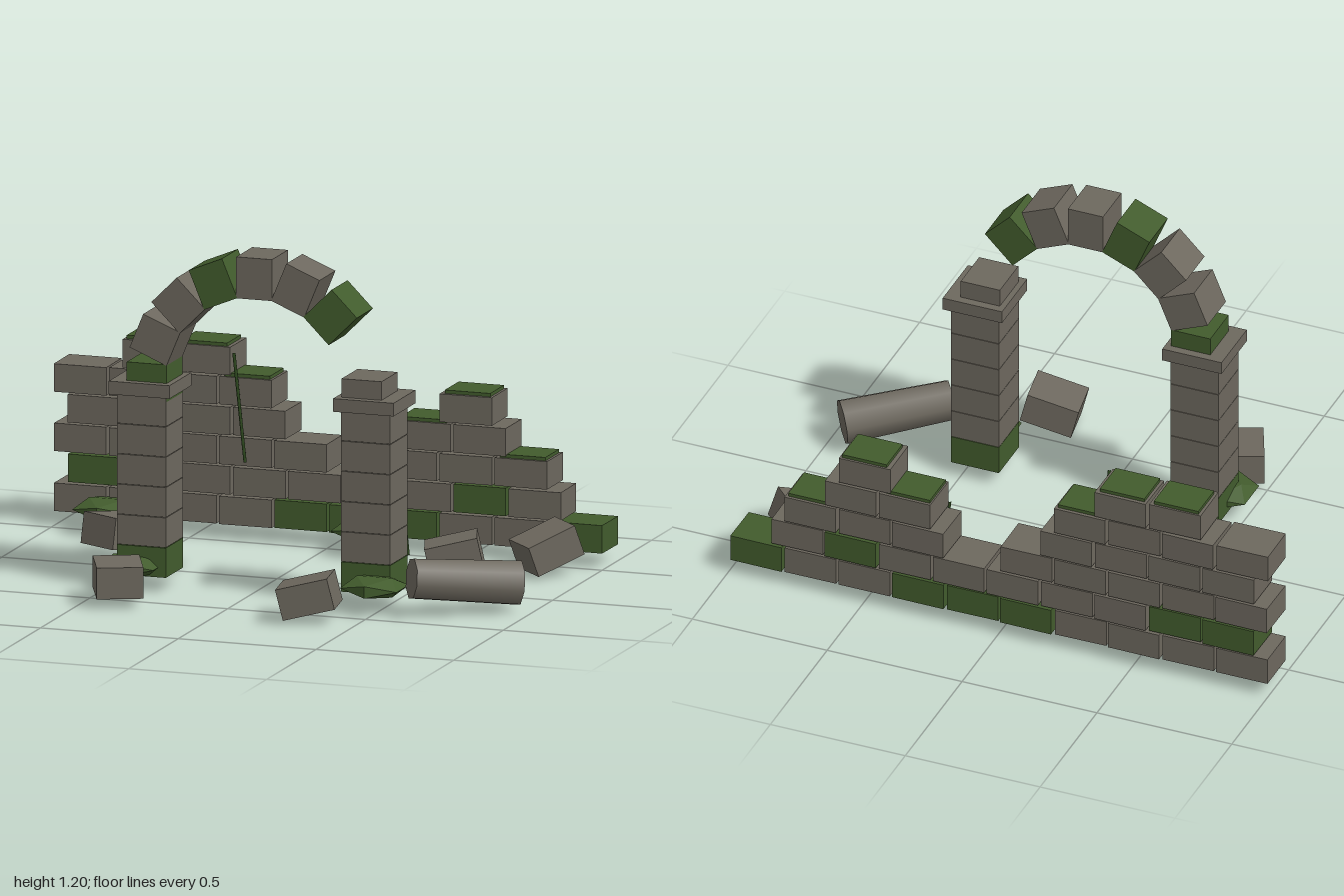
import * as THREE from 'three';

export function createModel() {
  const model = new THREE.Group();
  const mat = (name, color) => {
    const m = new THREE.MeshStandardMaterial({ color });
    m.name = name;
    return m;
  };
  const stone = mat('weathered stone', 0x6d685e);
  const moss = mat('moss green', 0x425c2d);
  const vineGreen = mat('dark vine green', 0x2f4a20);

  const add = (name, geometry, material, x, y, z, parent = model) => {
    const mesh = new THREE.Mesh(geometry, material);
    mesh.name = name;
    mesh.position.set(x, y, z);
    parent.add(mesh);
    return mesh;
  };
  const group = (name) => {
    const g = new THREE.Group();
    g.name = name;
    model.add(g);
    return g;
  };

  // Ruined wall: rows list the left edge of each run, its brick count and mossy bricks
  const wall = group('ruinedWall');
  const brick = new THREE.BoxGeometry(0.19, 0.098, 0.16);
  const pitch = 0.2, rowHeight = 0.1045, base = 0.055, wallZ = -0.602;
  const rows = [
    { runs: [[-1, 10]], mossy: [-0.2, 0, 0.2, 0.8] },
    { runs: [[-0.95, 9]], mossy: [-0.95, -0.75, 0.45] },
    { runs: [[-1, 5], [0.2, 3]], mossy: [] },
    { runs: [[-0.95, 4], [0.25, 2]], mossy: [] },
    { runs: [[-1, 4], [0.4, 1]], mossy: [] },
    { runs: [[-0.75, 2]], mossy: [] },
  ];
  rows.forEach(({ runs, mossy }, r) => {
    for (const [start, count] of runs) {
      for (let i = 0; i < count; i++) {
        const left = start + i * pitch;
        const green = mossy.some((m) => Math.abs(m - left) < 0.01);
        const wobble = Math.sin(r * 5.3 + i * 2.7);
        const b = add('wallBrick', brick, green ? moss : stone,
          left + 0.097, base + 0.049 + r * rowHeight, wallZ + wobble * 0.003, wall);
        b.rotation.y = wobble * 0.012;
      }
    }
  });

  // Moss patches on exposed brick tops: x, row, width
  for (const [x, r, w] of [[-0.655, 5, 0.165], [-0.455, 5, 0.165], [-0.3, 4, 0.165],
    [0.34, 3, 0.165], [0.5, 4, 0.165], [0.7, 2, 0.165]]) {
    add('mossPatch', new THREE.BoxGeometry(w, 0.016, 0.14), moss,
      x, base + r * rowHeight + 0.102, wallZ, wall);
  }

  // Hanging vines: top x, top y
  for (const [x, y] of [[-0.715, 0.593], [-0.34, 0.66], [0.252, 0.38]]) {
    const path = new THREE.LineCurve3(
      new THREE.Vector3(x, y, -0.511), new THREE.Vector3(x + 0.045, y - 0.377, -0.499));
    add('vine', new THREE.TubeGeometry(path, 1, 0.006, 5), vineGreen, 0, 0, 0, wall);
  }

  // Pillars with capitals
  const archX = 0.037, archY = 0.735, archZ = 0.255;
  const drum = new THREE.BoxGeometry(0.178, 0.104, 0.176);
  for (const side of [-1, 1]) {
    const pillar = group(side < 0 ? 'rightPillar' : 'leftPillar');
    const x = archX + side * 0.407;
    for (let i = 0; i < 6; i++) {
      add('pillarBlock', drum, i ? stone : moss, x, base + 0.053 + i * 0.1058, archZ, pillar);
    }
    add('capital', new THREE.BoxGeometry(0.22, 0.046, 0.222), stone, x, 0.712, archZ, pillar);
  }

  // Broken arch: one block missing on the left
  const arch = group('brokenArch');
  const archBlock = new THREE.BoxGeometry(0.145, 0.13, 0.162);
  for (let i = 0; i <= 8; i++) {
    if (i === 1) continue;
    const a = (i * Math.PI) / 8;
    const b = add('archBlock', archBlock, [2, 5, 8].includes(i) ? moss : stone,
      archX + 0.39 * Math.cos(a), archY + 0.39 * Math.sin(a), archZ, arch);
    b.rotation.z = a;
  }

  // Fallen stones: x, y, z, yaw, tilt
  const rubble = new THREE.BoxGeometry(0.16, 0.11, 0.185);
  for (const [x, y, z, yaw, tilt] of [
    [-0.625, 0.097, -0.13, -0.47, -0.145],
    [0.58, 0.095, -0.175, 1.91, -0.22],
    [0.84, 0.097, -0.385, 2.36, -0.35],
    [-0.385, 0.092, 0.537, 0.42, 0.02],
    [0.325, 0.093, 0.585, 1.74, -0.25],
  ]) {
    const b = add('fallenStone', rubble, stone, x, y, z);
    b.rotation.set(tilt, yaw, 0, 'YXZ');
  }

  // Moss clumps
  const clump = new THREE.IcosahedronGeometry(0.121, 0);
  for (const [x, z] of [[-0.79, -0.477], [0.155, -0.455], [-0.412, 0.328], [0.487, 0.373]]) {
    add('mossClump', clump, moss, x, 0.09, z).scale.y = 0.33;
  }

  // Fallen column
  const from = new THREE.Vector3(0.635, 0.137, 0.41);
  const to = new THREE.Vector3(0.945, 0.1, 0.19);
  const mid = from.clone().add(to).multiplyScalar(0.5);
  const column = add('fallenColumn',
    new THREE.CylinderGeometry(0.081, 0.073, from.distanceTo(to), 8), stone, mid.x, mid.y, mid.z);
  column.quaternion.setFromUnitVectors(new THREE.Vector3(0, 1, 0), to.sub(from).normalize());

  return model;
}
